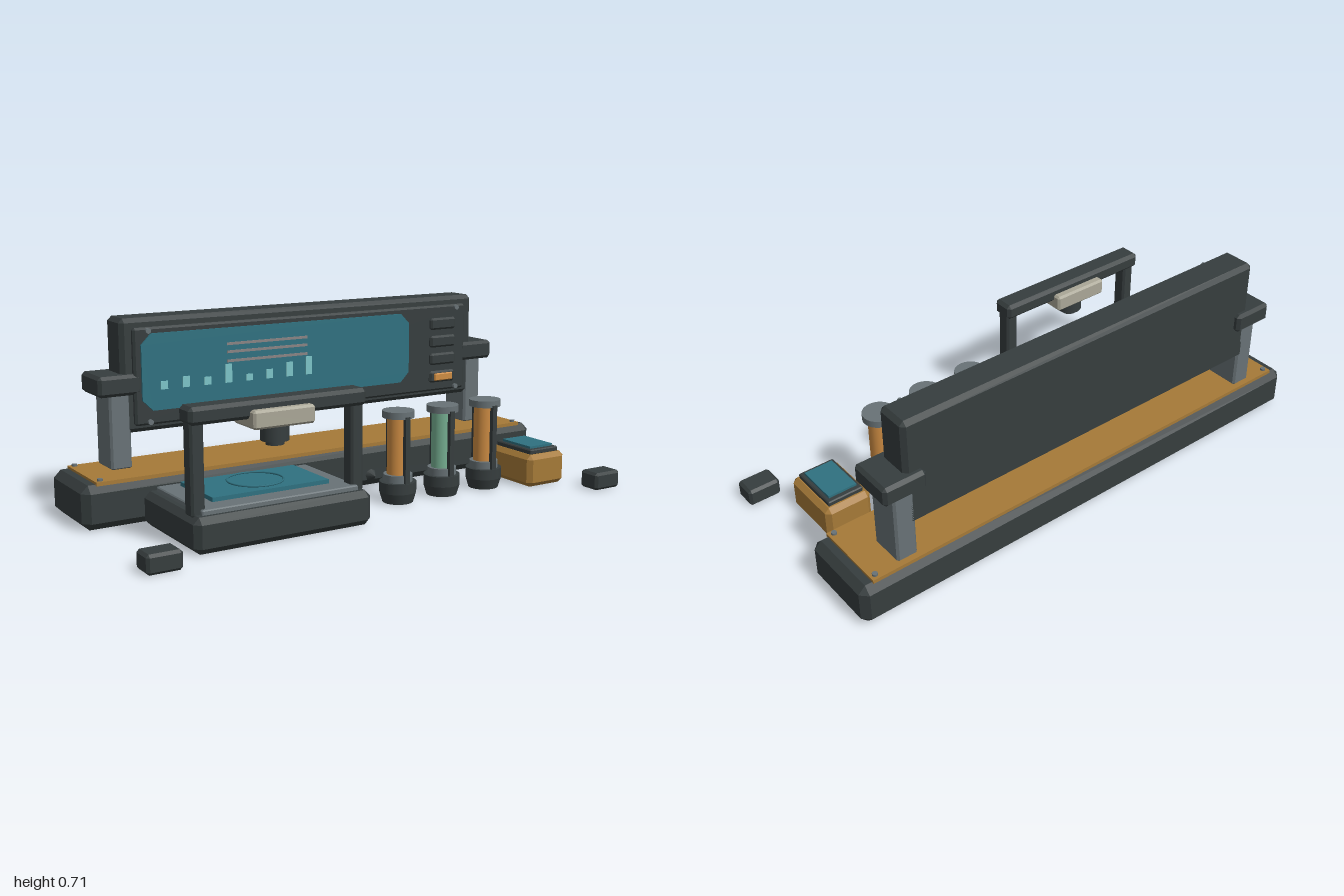
import * as THREE from 'three';
import { ConvexGeometry } from 'three/addons/geometries/ConvexGeometry.js';

const paint = (name, color) => {
  const m = new THREE.MeshStandardMaterial({ color });
  m.name = name;
  return m;
};

export function createModel() {
  const model = new THREE.Group();
  model.name = 'workstation';
  const dark = paint('charcoal', 0x363d3e);
  const grey = paint('steel grey', 0x687276);
  const ochre = paint('ochre', 0xa67a38);
  const teal = paint('teal', 0x2f7180);
  const orange = paint('orange', 0xcf8d43);
  const green = paint('green', 0x78b294);
  const cyan = paint('light cyan', 0x7cc4c8);
  const beige = paint('beige', 0xaaa797);
  const rose = paint('rose grey', 0x8a8484);

  const add = (name, geo, mat, x = 0, y = 0, z = 0) => {
    const mesh = new THREE.Mesh(geo, mat);
    mesh.name = name;
    mesh.position.set(x, y, z);
    model.add(mesh);
    return mesh;
  };

  // Box from min/max extents, with every edge chamfered by c
  const block = (name, mat, [x0, x1], [y0, y1], [z0, z1], c = 0) => {
    const w = (x1 - x0) / 2, h = (y1 - y0) / 2, d = (z1 - z0) / 2;
    let geo;
    if (c === 0) geo = new THREE.BoxGeometry(w * 2, h * 2, d * 2);
    else {
      const pts = [];
      for (const i of [-1, 1]) for (const j of [-1, 1]) for (const k of [-1, 1]) {
        pts.push(new THREE.Vector3(i * w, j * (h - c), k * (d - c)));
        pts.push(new THREE.Vector3(i * (w - c), j * h, k * (d - c)));
        pts.push(new THREE.Vector3(i * (w - c), j * (h - c), k * d));
      }
      geo = new ConvexGeometry(pts);
    }
    return add(name, geo, mat, (x0 + x1) / 2, (y0 + y1) / 2, (z0 + z1) / 2);
  };
  const cylinder = (name, mat, r, y0, y1, x, z, sides = 24, rBottom = r) =>
    add(name, new THREE.CylinderGeometry(r, rBottom, y1 - y0, sides), mat, x, (y0 + y1) / 2, z);
  const span = (s, a, b) => (s > 0 ? [a, b] : [-b, -a]);

  // Long base with its deck plate
  block('base', dark, [-1, 1], [0, 0.16], [-0.43, -0.105], 0.027);
  block('deckPlate', ochre, [-0.945, 0.945], [0.155, 0.169], [-0.41, -0.122]);

  // Display supports, clamps, deck bolts and loose front feet
  for (const s of [-1, 1]) {
    block('supportPost', grey, span(s, 0.755, 0.835), [0.165, 0.46], [-0.39, -0.255], 0.008);
    block('supportClamp', dark, span(s, 0.715, 0.88), [0.437, 0.512], [-0.413, -0.235], 0.012);
    block('frontFoot', dark, span(s, 0.875, 1), [0, 0.068], [0.338, 0.43], 0.01);
    for (const z of [-0.14, -0.39]) cylinder('deckBolt', grey, 0.01, 0.165, 0.177, s * 0.925, z, 12);
  }

  // Display housing and bezel
  block('displayHousing', dark, [-0.785, 0.785], [0.295, 0.71], [-0.39, -0.257], 0.016);
  block('displayBezel', dark, [-0.745, 0.735], [0.322, 0.677], [-0.262, -0.236], 0.008);

  // Screen with clipped corners
  const a = 0.582, b = 0.14, c = 0.04;
  const outline = new THREE.Shape([
    [-a + c, -b], [a - c, -b], [a, -b + c], [a, b - c],
    [a - c, b], [-a + c, b], [-a, b - c], [-a, -b + c],
  ].map(([x, y]) => new THREE.Vector2(x, y)));
  add('screen', new THREE.ExtrudeGeometry(outline, { depth: 0.009, bevelEnabled: false }), teal, -0.137, 0.515, -0.237);

  // Screen graphics
  for (const y of [0.595, 0.565, 0.531])
    block('screenLine', rose, [-0.38, -0.035], [y - 0.005, y + 0.005], [-0.229, -0.225]);
  [0.03, 0.04, 0.03, 0.07, 0.025, 0.035, 0.055, 0.07].forEach((h, i) => {
    const x = -0.635 + i * 0.0865;
    block('screenBar', cyan, [x - 0.014, x + 0.014], [0.45, 0.45 + h], [-0.229, -0.224]);
  });

  // Bezel screws
  for (const x of [-0.69, 0.685]) for (const y of [0.334, 0.665])
    add('bezelScrew', new THREE.CylinderGeometry(0.01, 0.01, 0.014, 12), grey, x, y, -0.232).rotation.x = Math.PI / 2;

  // Button column
  for (const y of [0.603, 0.53, 0.457, 0.383])
    block('button', dark, [0.55, 0.677], [y - 0.024, y + 0.024], [-0.24, y < 0.4 ? -0.222 : -0.218], 0.008);
  block('accentButton', orange, [0.568, 0.66], [0.367, 0.398], [-0.224, -0.213], 0.004);

  // Cable plug on the base front
  add('plug', new THREE.ConeGeometry(0.026, 0.034, 8), dark, 0.18, 0.045, -0.09).rotation.x = Math.PI / 2;

  // Work tray
  block('trayBody', dark, [-0.79, -0.105], [0, 0.125], [-0.095, 0.34], 0.022);
  block('trayPlate', grey, [-0.75, -0.145], [0.12, 0.142], [-0.06, 0.305], 0.004);
  block('trayMat', teal, [-0.675, -0.22], [0.14, 0.157], [-0.022, 0.228]);
  add('matRing', new THREE.TorusGeometry(0.1, 0.0035, 6, 40), teal, -0.45, 0.164, 0.11).rotation.x = Math.PI / 2;

  // Gantry over the tray
  for (const x of [-0.755, -0.14])
    block('gantryPost', dark, [x - 0.025, x + 0.025], [0.115, 0.45], [0.233, 0.291], 0.008);
  block('gantryBeam', dark, [-0.787, -0.108], [0.424, 0.485], [0.216, 0.305], 0.013);
  block('scanHead', beige, [-0.57, -0.335], [0.392, 0.456], [0.185, 0.335], 0.008);
  cylinder('scanLens', dark, 0.05, 0.335, 0.395, -0.453, 0.26);
  cylinder('lensTip', dark, 0.032, 0.32, 0.336, -0.453, 0.26);

  // Three sample tubes on round stands
  [orange, green, orange].forEach((mat, i) => {
    const x = 0.145 + i * 0.205, z = 0.13;
    cylinder('tubeFoot', dark, 0.07, 0, 0.04, x, z, 24, 0.058);
    cylinder('tubeStand', dark, 0.07, 0.04, 0.08, x, z);
    cylinder('tubeCollar', grey, 0.055, 0.08, 0.108, x, z);
    cylinder('sampleTube', mat, 0.042, 0.1, 0.328, x, z);
    cylinder('tubeCap', grey, 0.061, 0.324, 0.35, x, z);
    for (const s of [-1, 1])
      block('tubeRod', dark, [x - 0.01, x + 0.01], [0.07, 0.332], [z + s * 0.056 - 0.009, z + s * 0.056 + 0.009]);
  });

  // Small pad box
  block('padBox', ochre, [0.683, 0.868], [0, 0.128], [0.007, 0.258], 0.018);
  block('padFrame', dark, [0.704, 0.846], [0.125, 0.146], [0.03, 0.236], 0.004);
  block('padSurface', teal, [0.718, 0.832], [0.144, 0.155], [0.05, 0.216]);

  return model;
}
